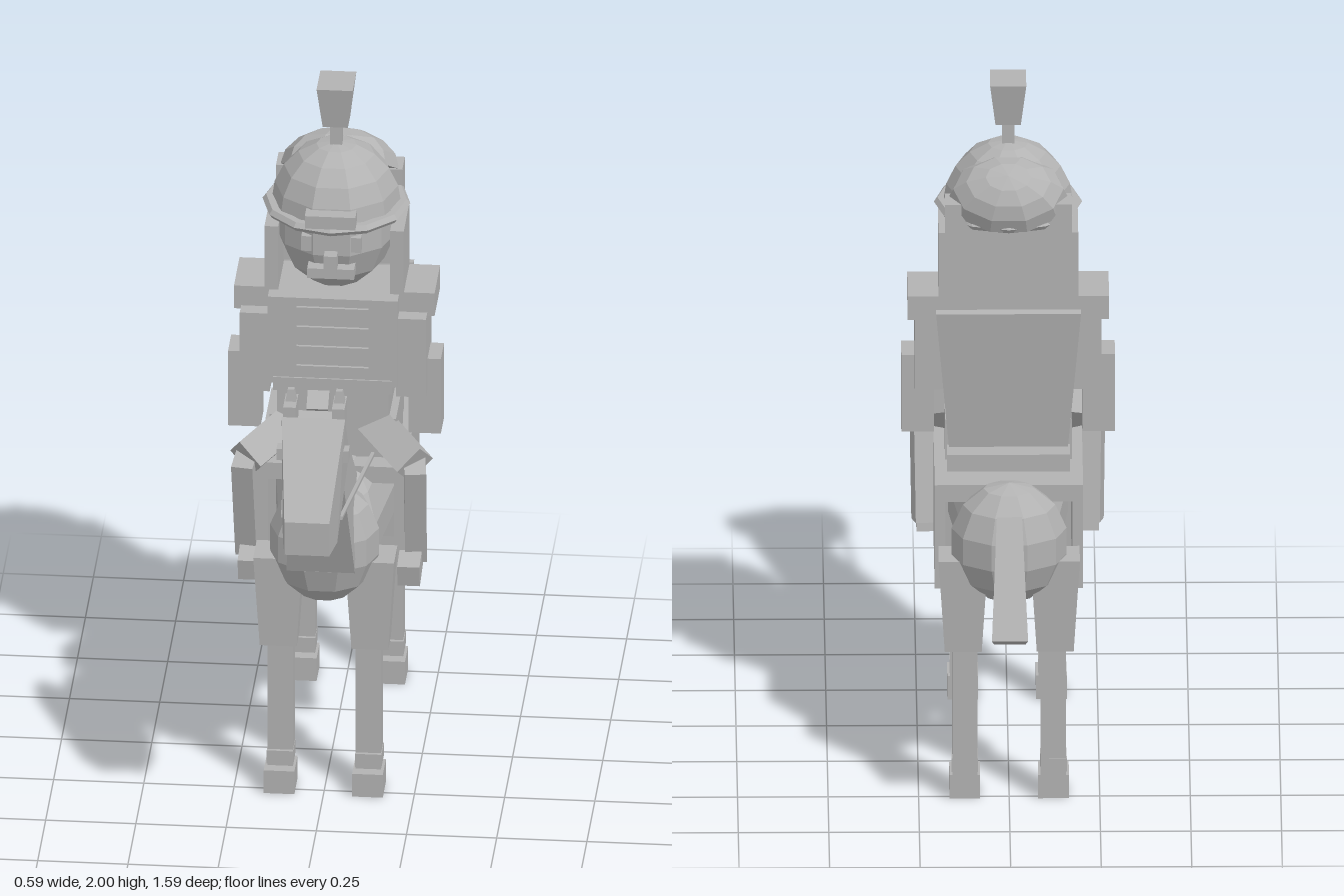
import * as THREE from 'three';

const grey = new THREE.MeshStandardMaterial({ color: 0xb2b2b2, flatShading: true });
grey.name = 'grey';

function add(parent, name, geo) {
  const m = new THREE.Mesh(geo, grey);
  m.name = name;
  parent.add(m);
  return m;
}

// Box given by its ranges on each axis
function box(parent, name, [x0, x1], [y0, y1], [z0, z1]) {
  const m = add(parent, name, new THREE.BoxGeometry(x1 - x0, y1 - y0, z1 - z0));
  m.position.set((x0 + x1) / 2, (y0 + y1) / 2, (z0 + z1) / 2);
  return m;
}

// Box whose top and bottom differ in size: [half x, half z]
function taper(parent, name, top, bottom, y0, y1, x, z) {
  const geo = new THREE.BoxGeometry(2, y1 - y0, 2);
  const p = geo.attributes.position;
  for (let i = 0; i < p.count; i++) {
    const s = p.getY(i) > 0 ? top : bottom;
    p.setX(i, p.getX(i) * s[0]);
    p.setZ(i, p.getZ(i) * s[1]);
  }
  const m = add(parent, name, geo);
  m.position.set(x, (y0 + y1) / 2, z);
  return m;
}

// Side outline of [z, y] points, with half width given by a rule
function profile(parent, name, pts, halfWidth) {
  const shape = new THREE.Shape(pts.map(([z, y]) => new THREE.Vector2(z, y)));
  const geo = new THREE.ExtrudeGeometry(shape, { depth: 2, bevelEnabled: false });
  geo.translate(0, 0, -1).rotateY(-Math.PI / 2);
  const p = geo.attributes.position;
  for (let i = 0; i < p.count; i++) p.setX(i, p.getX(i) * halfWidth(p.getZ(i), p.getY(i)));
  return add(parent, name, geo);
}

function ball(parent, name, [rx, ry, rz], [x, y, z], cols = 10, rows = 7) {
  const m = add(parent, name, new THREE.SphereGeometry(1, cols, rows));
  m.scale.set(rx, ry, rz);
  m.position.set(x, y, z);
  return m;
}

// Square bar between two points
function bar(parent, name, a, b, w, d) {
  const from = new THREE.Vector3(...a), to = new THREE.Vector3(...b);
  const m = add(parent, name, new THREE.BoxGeometry(w, from.distanceTo(to), d));
  m.position.copy(from).add(to).multiplyScalar(0.5);
  m.quaternion.setFromUnitVectors(new THREE.Vector3(0, 1, 0), to.sub(from).normalize());
  return m;
}

// Range mirrored to the given side
const side = (s, a, b) => (s > 0 ? [a, b] : [-b, -a]);

function buildHorse() {
  const horse = new THREE.Group();
  horse.name = 'horse';

  ball(horse, 'barrel', [0.17, 0.185, 0.47], [0, 0.735, -0.12]);
  ball(horse, 'chest', [0.155, 0.18, 0.135], [0, 0.77, 0.235]);
  ball(horse, 'haunch', [0.163, 0.175, 0.135], [0, 0.76, -0.485]);

  // Neck, mane, head and tail
  profile(horse, 'neck', [[0.36, 0.73], [0.55, 1.215], [0.474, 1.285], [0.16, 0.94]],
    (z, y) => 0.095 - Math.max(0, y - 0.73) * 0.06);
  profile(horse, 'mane', [[0.19, 0.95], [0.474, 1.29], [0.427, 1.325], [0.15, 1.005]], () => 0.03);
  profile(horse, 'head', [[0.59, 1.32], [0.458, 1.155], [0.697, 0.993], [0.798, 1.0], [0.798, 1.1]],
    (z) => (z > 0.6 ? 0.088 - (z - 0.6) * 0.13 : 0.088));
  profile(horse, 'tail', [[-0.6, 0.88], [-0.54, 0.83], [-0.71, 0.545], [-0.79, 0.588]],
    (z) => 0.03 + (-0.54 - z) * 0.08);

  for (const s of [1, -1]) {
    box(horse, 'horseEye', side(s, 0.08, 0.1), [1.2, 1.235], [0.58, 0.617]);
    box(horse, 'horseEar', side(s, 0.05, 0.085), [1.28, 1.345], [0.495, 0.58]);
    taper(horse, 'earTip', [0.009, 0.008], [0.016, 0.014], 1.34, 1.38, s * 0.067, 0.53);
    bar(horse, 'rein', [s * 0.08, 1.04, 0.64], [s * 0.12, 0.96, 0.08], 0.01, 0.01);

    // Legs
    for (const z of [0.215, -0.483]) {
      taper(horse, 'upperLeg', [0.068, 0.056], [0.051, 0.043], 0.445, 0.72, s * 0.127, z);
      box(horse, 'lowerLeg', side(s, 0.087, 0.157), [0.06, 0.46], [z - 0.032, z + 0.032]);
      box(horse, 'fetlock', side(s, 0.086, 0.159), [0.08, 0.12], [z - 0.033, z + 0.042]);
      box(horse, 'hoof', side(s, 0.08, 0.165), [0, 0.07], [z - 0.032, z + 0.066]);
    }

    // Saddle cloth sides
    box(horse, 'saddleClothSide', side(s, 0.175, 0.205), [0.59, 0.9], [-0.42, 0.04]);
  }
  box(horse, 'saddleClothTop', [-0.205, 0.205], [0.85, 0.9], [-0.42, 0.04]);
  box(horse, 'cantle', [-0.17, 0.17], [0.9, 0.95], [-0.325, -0.25]);
  return horse;
}

function buildRider() {
  const rider = new THREE.Group();
  rider.name = 'rider';

  // Torso and coat
  box(rider, 'coatSkirt', [-0.175, 0.175], [0.9, 1.02], [-0.24, -0.02]);
  box(rider, 'waist', [-0.155, 0.155], [1.0, 1.12], [-0.235, -0.02]);
  box(rider, 'belt', [-0.165, 0.165], [1.1, 1.14], [-0.24, -0.01]);
  box(rider, 'chestCoat', [-0.18, 0.18], [1.12, 1.385], [-0.24, -0.015]);
  for (let i = 0; i < 4; i++) {
    const y = 1.16 + i * 0.06;
    box(rider, 'coatBraid', [-0.1, 0.1], [y, y + 0.02], [-0.02, -0.006]);
  }
  const cape = taper(rider, 'backPlate', [0.2, 0.013], [0.16, 0.013], 0.9, 1.37, 0, -0.275);
  cape.rotation.x = -0.11;

  // Arms and legs
  for (const s of [1, -1]) {
    box(rider, 'shoulder', side(s, 0.155, 0.278), [1.32, 1.39], [-0.24, -0.065]);
    box(rider, 'upperArm', side(s, 0.175, 0.258), [1.09, 1.33], [-0.19, -0.02]);
    box(rider, 'forearm', side(s, 0.205, 0.295), [0.955, 1.185], [-0.17, -0.07]);
    bar(rider, 'thigh', [s * 0.09, 1.0, -0.09], [s * 0.235, 0.92, 0.06], 0.09, 0.09);
    bar(rider, 'calf', [s * 0.235, 0.93, 0.07], [s * 0.23, 0.62, -0.01], 0.06, 0.095);
    const foot = box(rider, 'boot', side(s, 0.19, 0.252), [0.58, 0.645], [-0.02, 0.11]);
    foot.rotation.x = 0.2;
  }

  // Head and hair
  ball(rider, 'head', [0.17, 0.2, 0.17], [0, 1.585, -0.13]);
  box(rider, 'backHair', [-0.175, 0.175], [1.4, 1.69], [-0.3, -0.22]);
  for (const s of [1, -1]) {
    box(rider, 'sideHair', side(s, 0.155, 0.193), [1.385, 1.58], [-0.24, -0.06]);
    box(rider, 'eye', side(s, 0.055, 0.083), [1.555, 1.6], [-0.02, 0.032]);
  }
  box(rider, 'nose', [-0.018, 0.018], [1.505, 1.555], [0, 0.063]);
  box(rider, 'moustache', [-0.065, 0.065], [1.48, 1.51], [-0.02, 0.05]);

  // Helmet with brim, rear guard, badge and plume
  const dome = add(rider, 'helmetDome',
    new THREE.SphereGeometry(1, 10, 5, 0, Math.PI * 2, 0, Math.PI / 2));
  dome.scale.set(0.18, 0.19, 0.18);
  dome.position.set(0, 1.625, -0.135);
  const brim = add(rider, 'helmetBrim', new THREE.TorusGeometry(0.185, 0.02, 6, 12));
  brim.rotation.x = Math.PI / 2;
  brim.scale.z = 0.75;
  brim.position.set(0, 1.63, -0.135);
  const guard = add(rider, 'rearGuard',
    new THREE.SphereGeometry(1, 10, 4, 0, Math.PI * 2, 0, Math.PI / 2));
  guard.scale.set(0.165, 0.11, 0.12);
  guard.rotation.x = -0.6;
  guard.position.set(0, 1.685, -0.235);
  const under = add(rider, 'rearGuardUnderside', new THREE.CircleGeometry(1, 10));
  under.scale.set(0.165, 0.12, 1);
  under.rotation.x = Math.PI / 2 - 0.6;
  under.position.copy(guard.position);
  box(rider, 'badge', [-0.07, 0.07], [1.642, 1.68], [0, 0.068]);
  box(rider, 'plumeStem', [-0.017, 0.017], [1.79, 1.89], [-0.152, -0.118]);
  taper(rider, 'plume', [0.05, 0.06], [0.035, 0.038], 1.875, 2.0, 0, -0.135);
  return rider;
}

export function createModel() {
  const model = new THREE.Group();
  model.name = 'mountedRider';
  model.add(buildHorse(), buildRider());
  return model;
}
